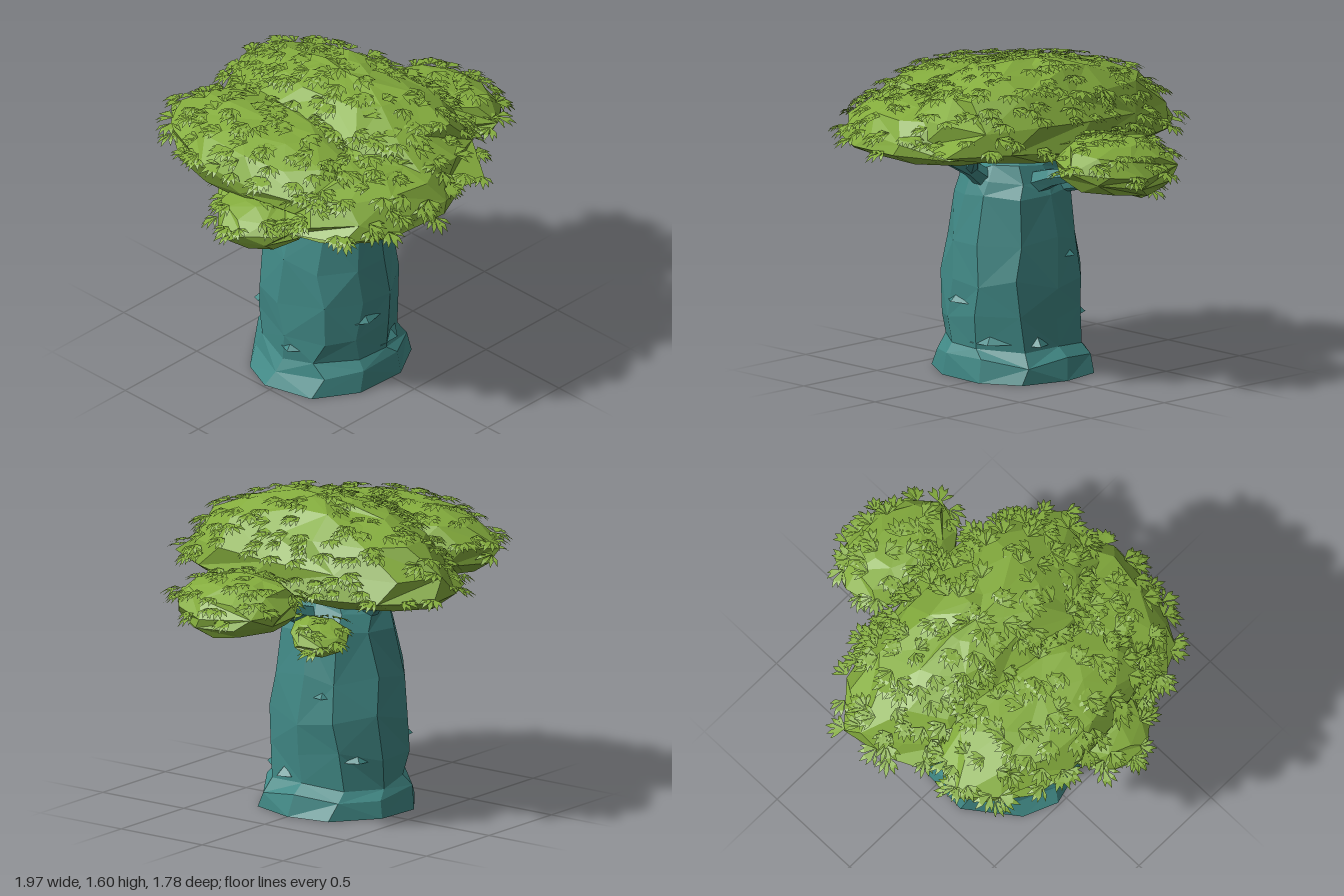
import * as THREE from 'three';

const bark = new THREE.MeshStandardMaterial({ color: 0x408885, flatShading: true, side: THREE.DoubleSide });
const leaf = new THREE.MeshStandardMaterial({ color: 0x84ac3d, flatShading: true, side: THREE.DoubleSide });

let seed;
const rnd = () => {
  seed = (seed * 16807) % 2147483647;
  return seed / 2147483647;
};
const V = (x, y, z) => new THREE.Vector3(x, y, z);

function add(group, name, geometry, material) {
  const mesh = new THREE.Mesh(geometry, material);
  mesh.name = name;
  group.add(mesh);
  return mesh;
}

// Closed rings of points, bottom to top, joined into a skin
function skin(rings) {
  const n = rings[0].length, index = [];
  for (let i = 0; i < rings.length - 1; i++) {
    for (let j = 0; j < n; j++) {
      const a = i * n + j, b = i * n + (j + 1) % n;
      if ((i + j) % 2) index.push(a, a + n, b, b, a + n, b + n);
      else index.push(a, a + n, b + n, a, b + n, b);
    }
  }
  const g = new THREE.BufferGeometry().setFromPoints(rings.flat());
  g.setIndex(index);
  g.computeVertexNormals();
  return g;
}

// Trunk sections: y, centre x, radius x, radius z
const TRUNK = [
  [0, -0.075, 0.405, 0.385], [0.09, -0.065, 0.375, 0.37], [0.15, -0.08, 0.325, 0.335],
  [0.3, -0.08, 0.335, 0.345], [0.48, -0.08, 0.335, 0.345], [0.68, -0.08, 0.31, 0.325],
  [0.9, -0.075, 0.275, 0.285], [1.0, -0.07, 0.235, 0.25], [1.06, -0.06, 0.19, 0.2],
  [1.12, -0.06, 0.08, 0.08], [1.13, -0.06, 0.001, 0.001],
];
function trunkGeometry() {
  const n = 10;
  const wobble = Array.from({ length: n }, () => 0.97 + rnd() * 0.08);
  return skin(TRUNK.map(([y, cx, rx, rz]) => wobble.map((w, j) => {
    const a = (j + 0.3 * (rnd() - 0.5)) / n * Math.PI * 2;
    const k = w * (0.98 + rnd() * 0.04);
    const lift = y > 0.05 && y < 1.1 ? (rnd() - 0.5) * 0.06 : 0;
    return V(cx + Math.cos(a) * rx * k, y + lift, -0.015 + Math.sin(a) * rz * k);
  })));
}

// Branch that tapers and bends along a curve
function branchGeometry(points, r0, r1) {
  const curve = new THREE.CatmullRomCurve3(points.map((p) => V(...p)));
  const steps = 6, sides = 6;
  const g = new THREE.TubeGeometry(curve, steps, 1, sides, false);
  const p = g.attributes.position, v = V();
  for (let i = 0; i <= steps; i++) {
    const c = curve.getPointAt(i / steps);
    const r = i === steps ? 0.004 : THREE.MathUtils.lerp(r0, r1, Math.sqrt(i / steps));
    for (let j = 0; j <= sides; j++) {
      const k = i * (sides + 1) + j;
      v.fromBufferAttribute(p, k).sub(c).multiplyScalar(r).add(c);
      p.setXYZ(k, v.x, v.y, v.z);
    }
  }
  return g;
}

// Clump profiles, underside to crown: radius and height fractions
const DOME = [[0.001, 0.14], [0.45, 0.1], [0.85, 0], [1, 0.12], [0.94, 0.38], [0.76, 0.69], [0.48, 0.9], [0.2, 0.99], [0.001, 1]];
const SLAB = [[0.001, 0.08], [0.45, 0.04], [0.8, 0], [0.97, 0.26], [1, 0.5], [0.78, 0.82], [0.42, 0.97], [0.001, 1]];

// Canopy clumps; lean tips the clump down towards +x and +z
const CLUMPS = [
  { name: 'mainCanopy', profile: DOME, x: 0.06, z: -0.04, rx: 0.45, rz: 0.79, bottom: 1.15, top: 1.575, n: 13, lean: [0, -0.04] },
  { name: 'sideCanopy', profile: SLAB, x: -0.4, z: -0.08, rx: 0.35, rz: 0.6, bottom: 1.17, top: 1.48, n: 11, lean: [0, 0] },
  { name: 'frontCanopy', profile: DOME, x: -0.23, z: 0.37, rx: 0.49, rz: 0.42, bottom: 1.15, top: 1.42, n: 11, lean: [0, 0] },
  { name: 'leftLobe', profile: SLAB, x: 0.69, z: 0.03, rx: 0.26, rz: 0.33, bottom: 1.06, top: 1.27, n: 9, lean: [0.15, 0] },
  { name: 'rightLobe', profile: SLAB, x: -0.64, z: 0.1, rx: 0.24, rz: 0.26, bottom: 1.06, top: 1.24, n: 9, lean: [-0.06, 0] },
  { name: 'backLeftTuft', profile: SLAB, x: 0.43, z: -0.28, rx: 0.14, rz: 0.15, bottom: 0.94, top: 1.04, n: 7, lean: [0.25, -0.2] },
  { name: 'backRightTuft', profile: SLAB, x: -0.49, z: -0.18, rx: 0.14, rz: 0.14, bottom: 1.0, top: 1.1, n: 7, lean: [-0.1, 0] },
];

function clumpGeometry(c) {
  const h = c.top - c.bottom;
  const wobble = Array.from({ length: c.n }, () => 0.93 + rnd() * 0.15);
  return skin(c.profile.map(([r, y], i) => wobble.map((w, j) => {
    const a = (j + (i % 2) * 0.35 + 0.3 * (rnd() - 0.5)) / c.n * Math.PI * 2;
    const k = r * w * (0.97 + rnd() * 0.06);
    const dx = Math.cos(a) * c.rx * k, dz = Math.sin(a) * c.rz * k;
    const lift = (r > 0.1 ? (rnd() - 0.5) * 0.09 * h : 0) - dx * c.lean[0] - dz * c.lean[1];
    return V(c.x + dx, c.bottom + h * y + lift, c.z + dz);
  })));
}

// True when a point is buried in another clump
function buried(p, own) {
  return CLUMPS.some((c) => {
    if (c === own) return false;
    const d = Math.hypot((p.x - c.x) / c.rx, (p.z - c.z) / c.rz);
    return d < 0.95 && p.y > c.bottom && p.y < c.bottom + (c.top - c.bottom) * Math.sqrt(1 - d * d) - 0.02;
  });
}

// Half fan of five pointed leaflets, lying almost level
function addSprig(out, p, normal) {
  const outward = V(normal.x + (rnd() - 0.5) * 1.3, 0, normal.z + (rnd() - 0.5) * 1.3).normalize();
  const up = normal.clone().lerp(V(0, 1, 0), 0.65).normalize();
  const forward = outward.addScaledVector(up, -outward.dot(up)).normalize();
  const side = V().crossVectors(up, forward);
  const root = p.clone().addScaledVector(up, 0.012);
  const size = 0.085 + rnd() * 0.03;
  for (let i = -2; i <= 2; i++) {
    const a = i * 0.42 + (rnd() - 0.5) * 0.15;
    const at = (angle, r, lift) => root.clone().addScaledVector(forward, Math.cos(angle) * r)
      .addScaledVector(side, Math.sin(angle) * r).addScaledVector(up, lift);
    const length = size * (1 - Math.abs(i) * 0.1);
    const l = at(a - 0.19, length * 0.65, 0.006), r = at(a + 0.19, length * 0.65, 0.006);
    out.push(root, l, r, l, at(a, length, -0.008), r);
  }
}

// Scatter sprigs over the upper faces of a clump, by face area
function sprigGeometry(geometry, own) {
  const out = [], pos = geometry.attributes.position, index = geometry.index.array;
  const tri = new THREE.Triangle(), n = V();
  let owed = 0;
  for (let i = 0; i < index.length; i += 3) {
    tri.setFromAttributeAndIndices(pos, index[i], index[i + 1], index[i + 2]);
    tri.getNormal(n);
    if (n.y < 0.15) continue;
    for (owed += tri.getArea() * 125; owed > 0; owed--) {
      let u = rnd(), v = rnd();
      if (u + v > 1) { u = 1 - u; v = 1 - v; }
      const p = tri.a.clone().multiplyScalar(1 - u - v).addScaledVector(tri.b, u).addScaledVector(tri.c, v);
      if (!buried(p, own)) addSprig(out, p, n);
    }
  }
  const g = new THREE.BufferGeometry().setFromPoints(out);
  g.computeVertexNormals();
  return g;
}

export function createModel() {
  seed = 7;
  const tree = new THREE.Group();
  tree.name = 'tree';
  add(tree, 'trunk', trunkGeometry(), bark);

  // Bark ridges: angle from the front, height, width
  const ridges = [[-0.2, 0.4, 0.22], [0.45, 0.21, 0.22], [1.2, 0.2, 0.12], [1.95, 0.62, 0.15],
    [2.5, 0.3, 0.18], [3.5, 0.7, 0.15], [3.9, 0.36, 0.16], [4.9, 0.24, 0.16], [5.4, 0.6, 0.14]];
  ridges.forEach(([a, y, w]) => {
    const ridge = add(tree, 'barkRidge', new THREE.ConeGeometry(0.5, 1, 4), bark);
    const r = y > 0.55 ? 0.285 : 0.31;
    ridge.scale.set(w, 0.05, 0.1);
    ridge.position.set(-0.08 + Math.sin(a) * r, y, -0.015 + Math.cos(a) * r);
    ridge.rotation.y = a;
  });

  // Branches: path, start radius, end radius
  const branches = [
    [[[0.05, 0.93, 0], [0.2, 1.0, 0.02], [0.42, 1.05, 0.02], [0.52, 1.05, 0.04], [0.64, 1.13, 0.03]], 0.085, 0.02],
    [[[0.38, 1.04, 0.02], [0.5, 1.09, -0.08], [0.58, 1.12, -0.12]], 0.035, 0.015],
    [[[0.08, 0.93, -0.12], [0.24, 0.95, -0.2], [0.35, 0.96, -0.26], [0.46, 0.92, -0.28]], 0.06, 0.015],
    [[[-0.25, 0.9, 0.02], [-0.36, 1.0, 0.05], [-0.45, 1.05, 0.08], [-0.6, 1.09, 0.1]], 0.085, 0.02],
    [[[-0.24, 0.93, -0.1], [-0.36, 0.99, -0.16], [-0.52, 1.06, -0.18]], 0.06, 0.015],
    [[[-0.06, 0.95, 0.15], [-0.08, 1.05, 0.28], [-0.12, 1.11, 0.4], [-0.15, 1.2, 0.54]], 0.075, 0.02],
    [[[-0.08, 1.05, 0.27], [0.0, 1.1, 0.33], [0.07, 1.19, 0.38]], 0.045, 0.015],
    [[[-0.04, 0.95, -0.16], [-0.02, 1.06, -0.29], [0.02, 1.1, -0.42], [0.02, 1.19, -0.58]], 0.075, 0.02],
    [[[-0.02, 1.06, -0.3], [-0.1, 1.1, -0.38], [-0.2, 1.19, -0.45]], 0.045, 0.015],
    [[[0.0, 1.03, 0.02], [0.05, 1.12, 0.03], [0.12, 1.24, 0.04]], 0.06, 0.02],
    [[[-0.12, 1.03, 0], [-0.15, 1.12, 0], [-0.2, 1.24, -0.02]], 0.06, 0.02],
  ];
  branches.forEach((b) => add(tree, 'branch', branchGeometry(...b), bark));

  // Canopy clumps with their leaf sprigs
  CLUMPS.forEach((c) => {
    const geometry = clumpGeometry(c);
    add(tree, c.name, geometry, leaf);
    add(tree, c.name + 'Sprigs', sprigGeometry(geometry, c), leaf);
  });
  return tree;
}
